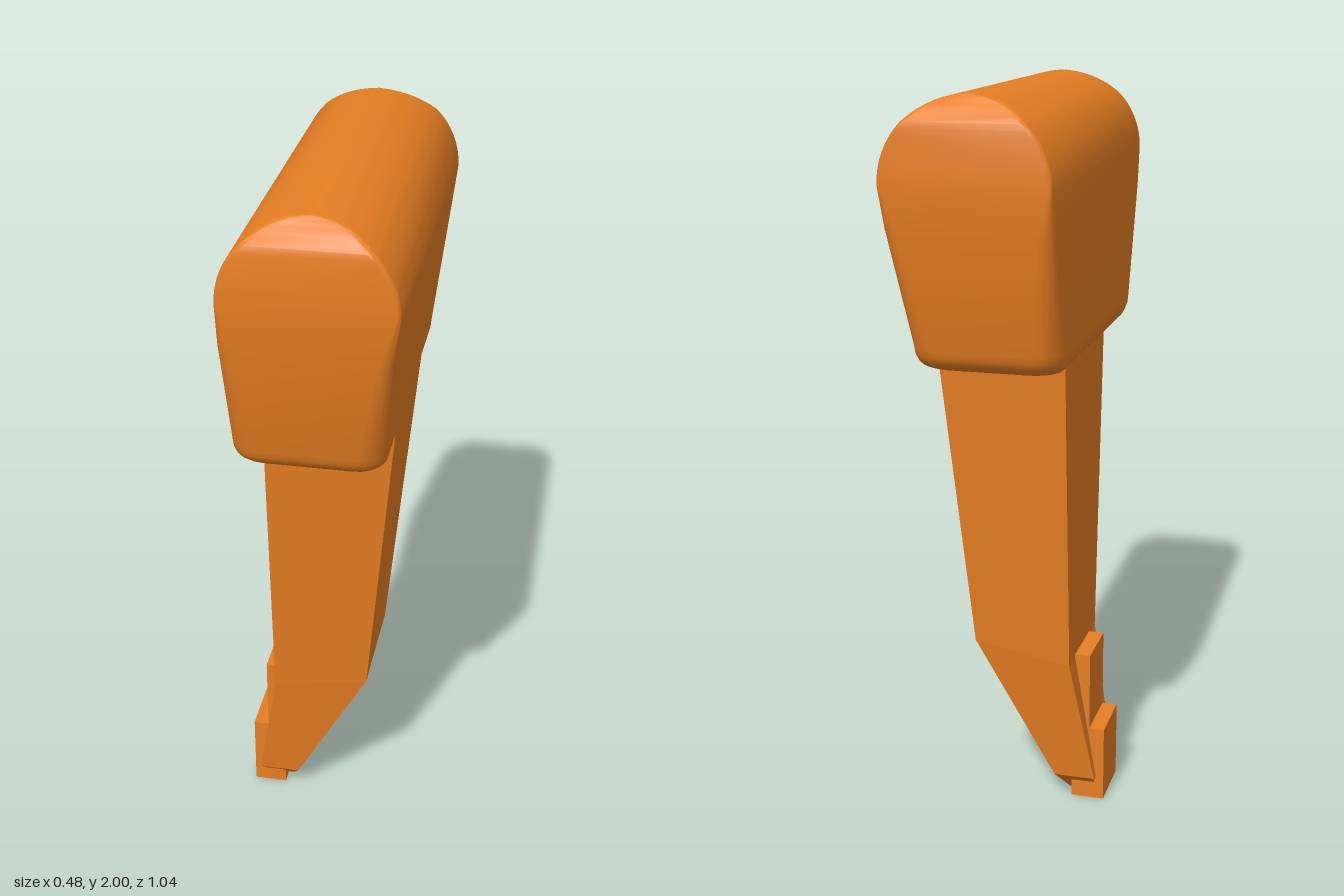
import * as THREE from 'three';
import { toCreasedNormals } from 'three/addons/utils/BufferGeometryUtils.js';

const material = new THREE.MeshStandardMaterial({ color: 0xe67e22 });

// Skin horizontal rings (lowest first, counterclockwise from above) and cap both ends
function loft(rings, crease) {
  const n = rings[0].length, last = (rings.length - 1) * n, index = [];
  for (let r = 0; r < rings.length - 1; r++) {
    for (let i = 0; i < n; i++) {
      const a = r * n + i, b = r * n + (i + 1) % n;
      index.push(a, b, b + n, a, b + n, a + n);
    }
  }
  for (let i = 1; i < n - 1; i++) index.push(0, i + 1, i, last, last + i, last + i + 1);
  const geometry = new THREE.BufferGeometry();
  geometry.setAttribute('position', new THREE.Float32BufferAttribute(rings.flat(2), 3));
  geometry.setIndex(index);
  return toCreasedNormals(geometry, crease);
}

// Rectangle with rounded corners at height y
function roundedRing(y, x0, x1, halfZ, radius, steps = 5) {
  const ring = [];
  const r = Math.min(radius, (x1 - x0) * 0.45);
  for (let c = 0; c < 4; c++) {
    const cx = c === 0 || c === 3 ? x1 - r : x0 + r;
    const cz = c < 2 ? -halfZ + r : halfZ - r;
    for (let s = 0; s <= steps; s++) {
      const a = (c + s / steps) * Math.PI / 2;
      ring.push([cx + r * Math.cos(a), y, cz - r * Math.sin(a)]);
    }
  }
  return ring;
}

// Four-cornered ring whose left and right edges may sit at different heights
const slantRing = (xl, yl, xr, yr, hl, hr = hl) =>
  [[xr, yr, -hr], [xl, yl, -hl], [xl, yl, hl], [xr, yr, hr]];

function add(group, name, geometry, x = 0, y = 0, z = 0) {
  const mesh = new THREE.Mesh(geometry, material);
  mesh.name = name;
  mesh.position.set(x, y, z);
  group.add(mesh);
}

export function createModel() {
  const group = new THREE.Group();
  group.name = 'hammerShapedPiece';

  // Head: rounded bottom edge, flaring ends, barrel top with bevelled ends
  const rings = [];
  for (let i = 0; i <= 5; i++) {
    const a = i / 5 * Math.PI / 2, k = 1 - Math.sin(a);
    rings.push(roundedRing(1.31 + 0.06 * (1 - Math.cos(a)),
      -0.195 + 0.03 * k, 0.195 - 0.03 * k, 0.445 - 0.075 * k, 0.07));
  }
  rings.push(roundedRing(1.68, -0.195, 0.228, 0.52, 0.035));
  const arcSteps = 16;
  for (let i = 0; i <= arcSteps; i++) {
    const a = i / arcSteps * Math.PI / 2;
    const y = 1.785 + 0.215 * Math.sin(a);
    const w = Math.max(0.2175 * Math.cos(a), 0.004);
    rings.push(roundedRing(y, 0.0225 - w, 0.0225 + w, 0.52 - Math.max(0, y - 1.935) * 0.8, 0.015));
  }
  add(group, 'head', loft(rings, 0.6));

  // Stem: tapered, bent near the foot, with a bevelled tip
  add(group, 'stem', loft([
    slantRing(-0.2, 0, -0.135, 0, 0.04),
    slantRing(-0.22, 0.07, -0.105, 0.07, 0.11),
    slantRing(-0.157, 0.43, 0.11, 0.485, 0.158, 0.165),
    slantRing(-0.157, 1.4, 0.195, 1.4, 0.235),
  ], 0.05));

  // Stepped pads on the side of the foot
  add(group, 'upperPad', new THREE.BoxGeometry(0.05, 0.438, 0.172), -0.175, 0.219, -0.003);
  add(group, 'lowerPad', new THREE.BoxGeometry(0.045, 0.216, 0.172), -0.22, 0.108, -0.003);

  return group;
}
